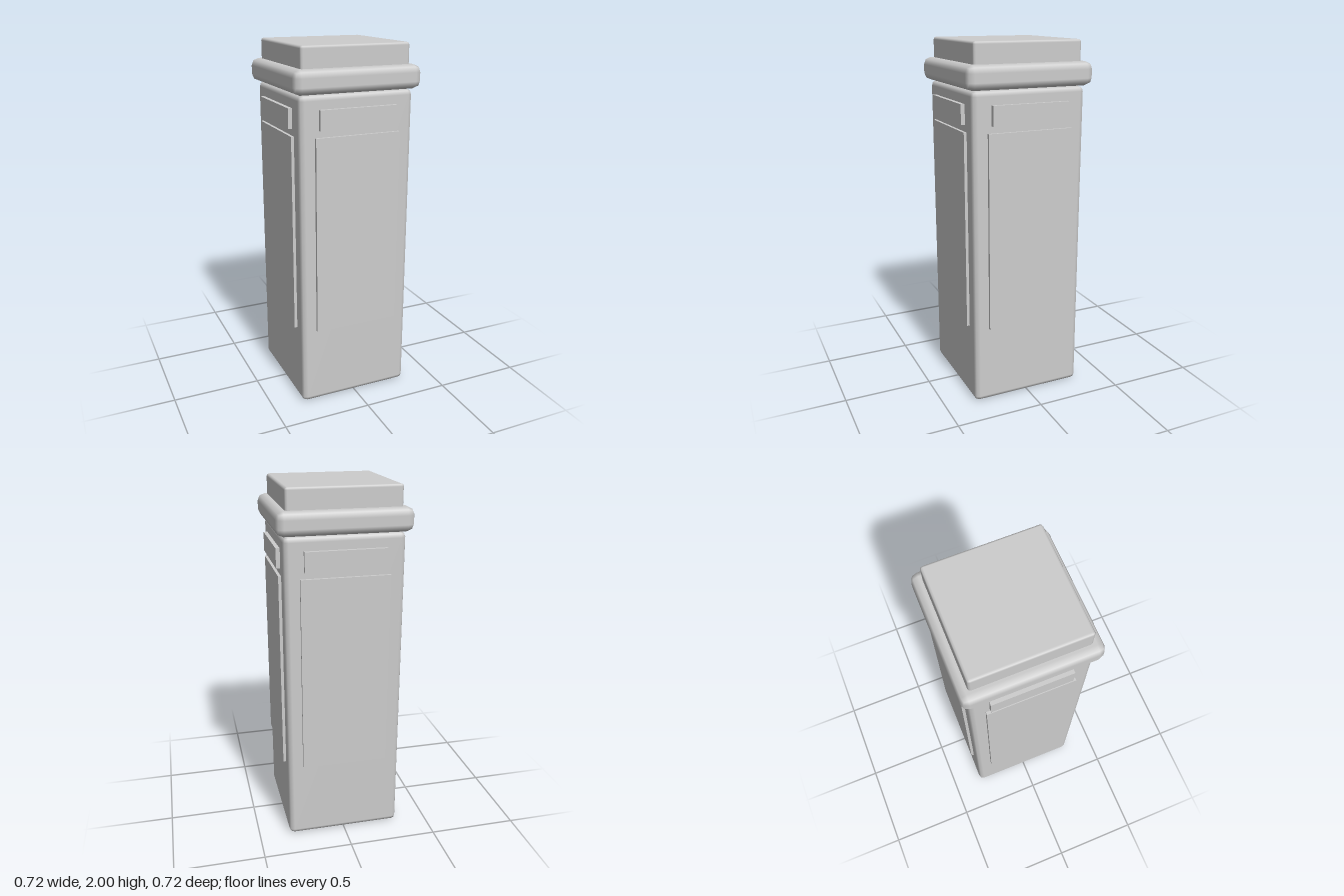
import * as THREE from 'three';
import { RoundedBoxGeometry } from 'three/addons/geometries/RoundedBoxGeometry.js';

export function createModel() {
  const model = new THREE.Group();
  model.name = 'pillar';
  const stone = new THREE.MeshStandardMaterial({ color: 0xcccccc });
  stone.name = 'grey stone';

  // Square block with rounded edges, between two heights
  function block(name, half, bottom, top, radius) {
    const geometry = new RoundedBoxGeometry(half * 2, top - bottom, half * 2, 1, radius);
    const mesh = new THREE.Mesh(geometry, stone);
    mesh.name = name;
    mesh.position.y = (bottom + top) / 2;
    model.add(mesh);
  }
  block('shaft', 0.325, 0, 1.757, 0.028);
  block('collar', 0.361, 1.76, 1.887, 0.04);
  block('cap', 0.308, 1.86, 2, 0.014);

  // Sharp-edged raised plate on one side
  function plate(name, half, bottom, top, reach, parent) {
    const inner = 0.31;
    const geometry = new THREE.BoxGeometry(half * 2, top - bottom, reach - inner);
    const mesh = new THREE.Mesh(geometry, stone);
    mesh.name = name;
    mesh.position.set(0, (bottom + top) / 2, (inner + reach) / 2);
    parent.add(mesh);
  }

  // The same two plates on all four sides
  ['front', 'left', 'back', 'right'].forEach((side, i) => {
    const face = new THREE.Group();
    face.name = side + 'Plates';
    face.rotation.y = i * Math.PI / 2;
    plate(side + 'Panel', 0.242, 0.445, 1.54, 0.341, face);
    plate(side + 'UpperPlate', 0.22, 1.577, 1.684, 0.347, face);
    model.add(face);
  });
  return model;
}
